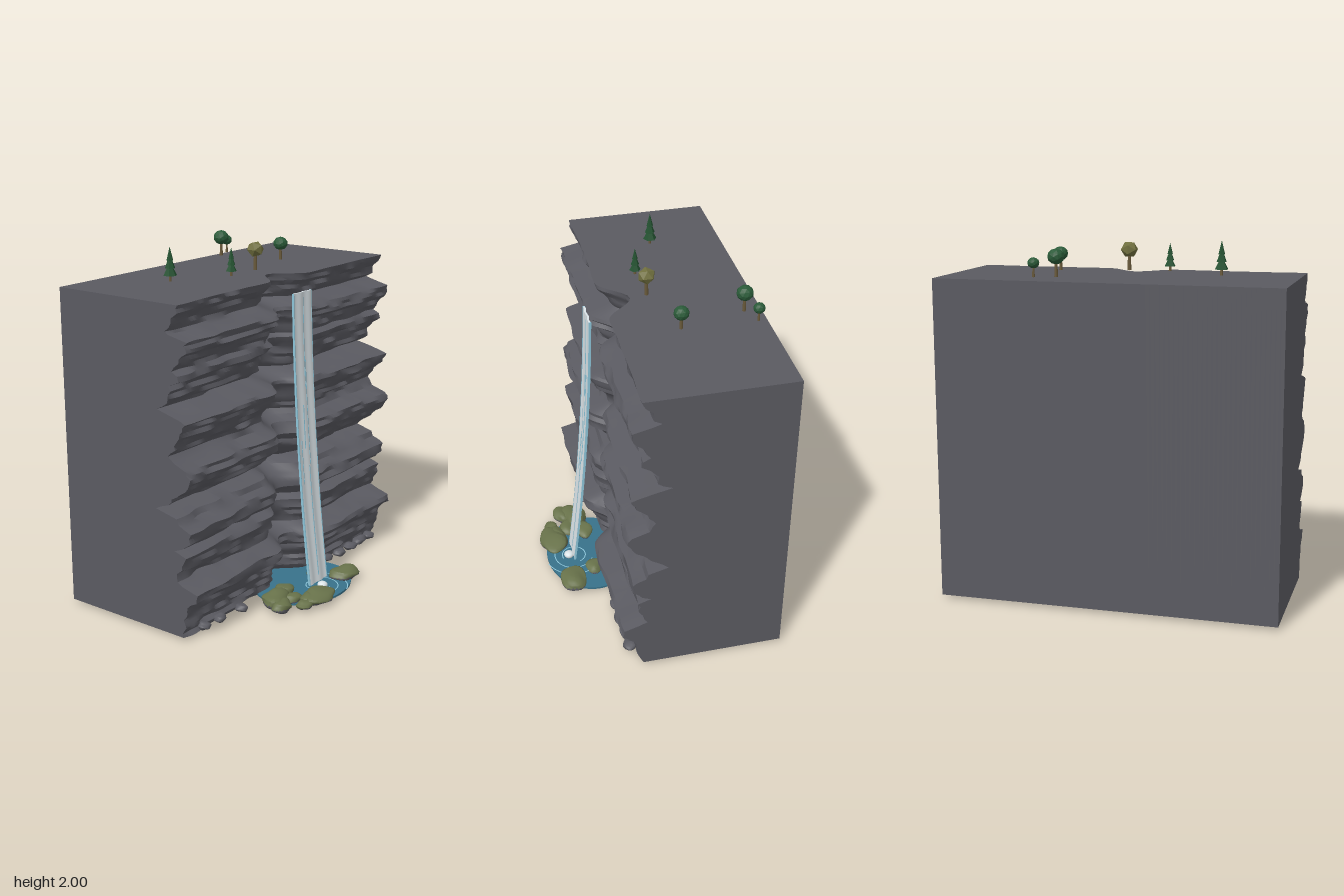
import * as THREE from 'three';
import { toCreasedNormals } from 'three/addons/utils/BufferGeometryUtils.js';

const mat = (name, color, extra = {}) => {
  const m = new THREE.MeshStandardMaterial({ color, ...extra });
  m.name = name;
  return m;
};

// Small seeded generator and a smooth 1D noise
function seeded(seed) {
  let s = seed;
  return () => ((s = (s * 16807) % 2147483647) / 2147483647);
}
const hash = (a, b) => {
  const s = Math.sin(a * 127.1 + b * 311.7) * 43758.5453;
  return s - Math.floor(s);
};
const noise = (x, row) => {
  const i = Math.floor(x), f = x - i, u = f * f * (3 - 2 * f);
  return hash(i, row) * (1 - u) + hash(i + 1, row) * u - 0.5;
};

// Cliff face section: [y, z] from top to foot
const SECTION = [
  [1.8, 0.2], [1.76, 0.19], [1.73, 0.15], [1.66, 0.12], [1.645, 0.15], [1.62, 0.25], [1.565, 0.25],
  [1.53, 0.2], [1.46, 0.17], [1.44, 0.2], [1.41, 0.19], [1.38, 0.14], [1.29, 0.11], [1.25, 0.06],
  [1.21, 0.21], [1.195, 0.25], [1.14, 0.22], [1.07, 0.17], [1.01, 0.14], [0.98, 0.16], [0.95, 0.25],
  [0.91, 0.27], [0.86, 0.24], [0.8, 0.19], [0.745, 0.11], [0.71, 0.05], [0.68, 0.17], [0.65, 0.19],
  [0.615, 0.25], [0.56, 0.25], [0.5, 0.17], [0.475, 0.23], [0.4, 0.21], [0.33, 0.17], [0.31, 0.22],
  [0.285, 0.3], [0.24, 0.3], [0.2, 0.25], [0.12, 0.22], [0.02, 0.2],
];
const BACK = -0.6, HALF = 0.95;

function cliffGeometry() {
  // Split each stratum into thinner, slightly stepped layers
  const rows = [];
  for (let i = 0; i < SECTION.length - 1; i++) {
    const [y0, z0] = SECTION[i], [y1, z1] = SECTION[i + 1];
    const n = Math.max(1, Math.round((y0 - y1) / 0.022));
    for (let k = 0; k < n; k++) rows.push([y0 + (y1 - y0) * k / n, z0 + (z1 - z0) * k / n]);
  }
  rows.push(SECTION[SECTION.length - 1]);
  const cols = 76;
  const grid = rows.map(([y, z], r) => Array.from({ length: cols + 1 }, (_, c) => {
    const x = -HALF + 2 * HALF * c / cols;
    const notch = Math.abs(x) < 0.2 ? 0.145 * (0.5 + 0.5 * Math.cos(Math.PI * x / 0.2)) : 0;
    const edge = r === 0 ? 0.4 : 1;
    const rough = noise(x * 8 + 40, r) * 0.035 + noise(x * 3 + 90, Math.floor(r / 3)) * 0.025;
    return [x, y, z + rough * edge - notch];
  }));
  const p = [];
  const quad = (a, b, c, d) => p.push(...a, ...b, ...c, ...a, ...c, ...d);
  const back = ([x, y]) => [x, y, BACK];
  const last = rows.length - 1;
  for (let r = 0; r < last; r++) {
    for (let c = 0; c < cols; c++) quad(grid[r][c], grid[r + 1][c], grid[r + 1][c + 1], grid[r][c + 1]);
    const l0 = grid[r][0], l1 = grid[r + 1][0], r0 = grid[r][cols], r1 = grid[r + 1][cols];
    quad(back(l0), back(l1), l1, l0);
    quad(r0, r1, back(r1), back(r0));
  }
  for (let c = 0; c < cols; c++) {
    const [t0, t1, b0, b1] = [grid[0][c], grid[0][c + 1], grid[last][c], grid[last][c + 1]];
    quad(back(t0), t0, t1, back(t1));
    quad(b0, back(b0), back(b1), b1);
    quad(back(t1), back(b1), back(b0), back(t0));
  }
  const g = new THREE.BufferGeometry();
  g.setAttribute('position', new THREE.Float32BufferAttribute(p, 3));
  return toCreasedNormals(g, 0.6);
}

// Lumpy boulder: group 0 is the upward faces, group 1 the underside
function boulderGeometry(seed) {
  let g = new THREE.IcosahedronGeometry(1, 3);
  const p = g.attributes.position, v = new THREE.Vector3();
  for (let i = 0; i < p.count; i++) {
    v.fromBufferAttribute(p, i);
    const k = 1 + 0.13 * Math.sin(2.7 * v.x + seed) * Math.cos(2.9 * v.z + seed * 2)
      + 0.07 * Math.sin(5 * v.y + 4 * v.x + seed * 3);
    p.setXYZ(i, v.x * k, v.y * k, v.z * k);
  }
  g = toCreasedNormals(g, 0.6);
  const q = g.attributes.position;
  let start = 0, current = -1;
  for (let i = 0; i <= q.count; i += 3) {
    const side = i < q.count ? (q.getY(i) + q.getY(i + 1) + q.getY(i + 2) > -0.3 ? 0 : 1) : -2;
    if (side !== current) {
      if (i > start) g.addGroup(start, i - start, current);
      start = i;
      current = side;
    }
  }
  return g;
}

// Falling water leans outward towards the pool
const FALL_TOP = 1.73, FALL_H = 1.67;
const fallZ = (y) => {
  const t = (FALL_TOP - y) / FALL_H;
  return 0.285 + 0.03 * t + 0.1 * t * t;
};
function fallGeometry(x, top, height, width, depth, lift) {
  const g = new THREE.BoxGeometry(width, height, depth, Math.max(1, Math.round(width / 0.012)), 24, 1);
  g.translate(x, top - height / 2, 0);
  const p = g.attributes.position;
  for (let i = 0; i < p.count; i++) {
    const px = p.getX(i), y = p.getY(i);
    p.setZ(i, p.getZ(i) + fallZ(y) + lift + 0.003 * Math.sin(px * 75 + y * 2));
  }
  g.computeVertexNormals();
  return g;
}

export function createModel() {
  const root = new THREE.Group();
  root.name = 'waterfallCliff';
  const rock = mat('rock grey', 0x5a5a61);
  const water = mat('white water', 0xdfe8ec);
  const streak = mat('pale blue water', 0x8cc4d8);
  const poolBlue = mat('pool blue', 0x38728a, { side: THREE.DoubleSide });
  const moss = mat('moss green', 0x68724a);
  const pineGreen = mat('pine green', 0x22502f);
  const leafGreen = mat('leaf green', 0x2a5a38);
  const olive = mat('olive leaf', 0x71703f);
  const bark = mat('bark brown', 0x6a5a3a);
  for (const m of [pineGreen, leafGreen, olive]) m.flatShading = true;

  const add = (name, geo, material, x = 0, y = 0, z = 0, parent = root) => {
    const m = new THREE.Mesh(geo, material);
    m.name = name;
    m.position.set(x, y, z);
    parent.add(m);
    return m;
  };

  add('cliff', cliffGeometry(), rock);

  // Waterfall sheet with pale streaks
  add('waterfall', fallGeometry(0, FALL_TOP, FALL_H, 0.165, 0.01, 0), water);
  for (const s of [-1, 1]) add('waterfallEdge', fallGeometry(s * 0.084, FALL_TOP, FALL_H, 0.005, 0.013, 0), streak);
  const streaks = [[0.003, 1.7, 0.5], [0.016, 1.35, 0.6], [-0.022, 1.1, 0.25], [0.004, 0.75, 0.65], [-0.05, 0.9, 0.25]];
  for (const [x, top, h] of streaks) add('waterStreak', fallGeometry(x, top, h, 0.005, 0.004, 0.005), streak);

  // Plunge pool with ripples and foam
  const pool = add('pool', new THREE.CylinderGeometry(1, 1, 0.012, 48), poolBlue, 0, 0.022, 0.31);
  pool.scale.set(0.32, 1, 0.26);
  for (const [r, from, len] of [[0.07, 0.4, 4.6], [0.115, 3.6, 3.8], [0.17, 5, 1.9]]) {
    const ring = add('ripple', new THREE.RingGeometry(r - 0.003, r + 0.003, 40, 1, from, len), streak, 0.01, 0.031, 0.41);
    ring.rotation.x = -Math.PI / 2;
  }
  const foam = add('foam', new THREE.SphereGeometry(0.03, 16, 10), water, 0.01, 0.04, 0.44);
  foam.scale.y = 0.7;

  // Mossy boulders round the pool: x, z, half width, half height, half depth
  const boulders = [
    [-0.32, 0.35, 0.1, 0.042, 0.075], [-0.36, 0.42, 0.07, 0.035, 0.05], [-0.24, 0.4, 0.07, 0.03, 0.05],
    [-0.26, 0.505, 0.055, 0.025, 0.04], [-0.13, 0.51, 0.11, 0.035, 0.08], [-0.19, 0.48, 0.06, 0.03, 0.05],
    [0.225, 0.45, 0.105, 0.036, 0.08], [0.14, 0.31, 0.06, 0.03, 0.05], [-0.19, 0.31, 0.07, 0.035, 0.05],
  ];
  boulders.forEach(([x, z, a, b, c], i) => {
    const m = add('mossyBoulder', boulderGeometry(i * 1.7 + 0.5), [moss, rock], x, b + 0.008, z);
    m.scale.set(a, b, c);
  });

  // Loose stones along the foot of the cliff
  const rand = seeded(77);
  for (const x of [-0.8, -0.67, -0.5, 0.36, 0.48, 0.6, 0.72, 0.82]) {
    const a = 0.035 + rand() * 0.03;
    const m = add('footStone', boulderGeometry(x * 9), rock, x, 0.035, 0.22 + rand() * 0.03);
    m.scale.set(a, 0.022, 0.035);
  }

  // Conifers: trunk and three stacked cones
  const GROUND = 1.815;
  for (const [x, z, h, r] of [[-0.54, -0.19, 0.185, 0.038], [-0.22, -0.03, 0.155, 0.031]]) {
    const tree = new THREE.Group();
    tree.name = 'conifer';
    tree.position.set(x, GROUND, z);
    root.add(tree);
    add('trunk', new THREE.CylinderGeometry(0.006, 0.008, h * 0.3, 6), bark, 0, h * 0.15, 0, tree);
    for (let i = 0; i < 3; i++) {
      const ch = h * 0.4;
      add('needles', new THREE.ConeGeometry(r * (1 - 0.25 * i), ch, 6), pineGreen, 0, h * (0.17 + 0.215 * i) + ch / 2, 0, tree);
    }
  }

  // Round trees: x, z, crown height, crown radius, leaf material
  const rounds = [
    [0.01, -0.04, 1.93, 0.05, olive], [0.285, -0.5, 1.922, 0.046, leafGreen],
    [0.38, -0.135, 1.908, 0.042, leafGreen], [0.395, -0.545, 1.89, 0.032, leafGreen],
  ];
  for (const [x, z, y, r, leaf] of rounds) {
    const tree = new THREE.Group();
    tree.name = 'roundTree';
    tree.position.set(x, GROUND, z);
    root.add(tree);
    const h = y - GROUND;
    add('trunk', new THREE.CylinderGeometry(r * 0.17, r * 0.22, h, 6), bark, 0, h / 2, 0, tree);
    const crown = add('crown', new THREE.IcosahedronGeometry(r, leaf === olive ? 0 : 1), leaf, 0, h, 0, tree);
    crown.scale.y = 0.92;
  }
  return root;
}
